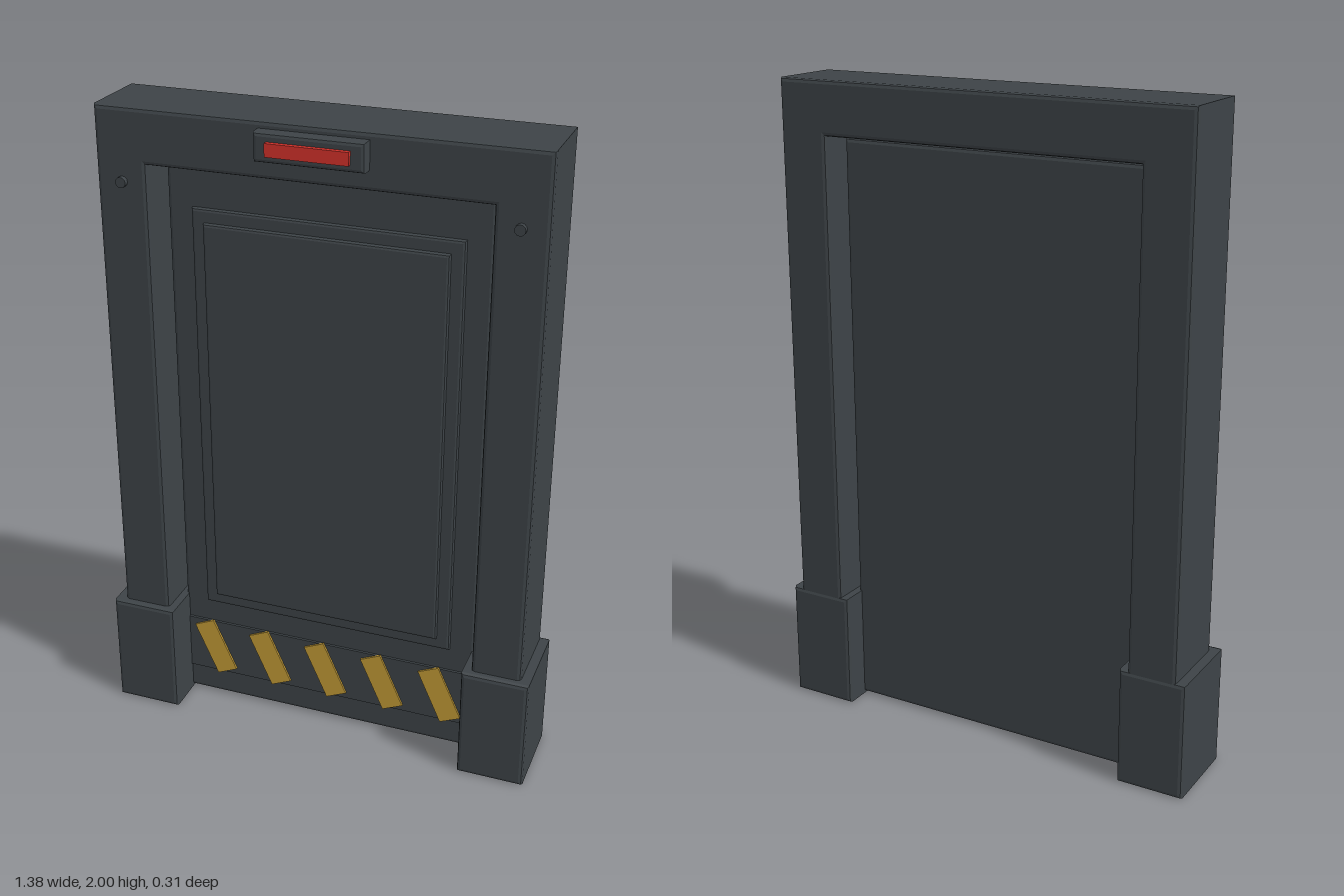
import * as THREE from 'three';

const flat = (name, color) => {
  const m = new THREE.MeshStandardMaterial({ color });
  m.name = name;
  return m;
};

// Extrude a shape between two depths, with bevels kept inside its outline
function bevelExtrude(shape, z0, z1, b) {
  const geo = new THREE.ExtrudeGeometry(shape, {
    depth: z1 - z0 - 2 * b, bevelEnabled: true, bevelThickness: b,
    bevelSize: b, bevelOffset: -b, bevelSegments: 2, curveSegments: 1,
  });
  return geo.translate(0, 0, z0 + b);
}

const outline = (points) => new THREE.Shape(points.map(([x, y]) => new THREE.Vector2(x, y)));

const bevelBox = (x0, x1, y0, y1, z0, z1, b) =>
  bevelExtrude(outline([[x0, y0], [x1, y0], [x1, y1], [x0, y1]]), z0, z1, b);

export function createModel() {
  const steel = flat('dark steel', 0x3d4347);
  const yellow = flat('hazard yellow', 0xc29a36);
  const red = flat('signal red', 0xd2322b);

  const model = new THREE.Group();
  model.name = 'securityDoor';
  const add = (name, geo, mat) => {
    const mesh = new THREE.Mesh(geo, mat);
    mesh.name = name;
    model.add(mesh);
    return mesh;
  };

  // Door surround, one piece around the opening
  const surround = outline([
    [-0.66, 0.01], [-0.505, 0.01], [-0.505, 1.838], [0.505, 1.838],
    [0.505, 0.01], [0.66, 0.01], [0.66, 2], [-0.66, 2],
  ]);
  add('doorFrame', bevelExtrude(surround, -0.154, 0.1, 0.012), steel);

  // Leaf with two stepped panels and the lower band
  add('doorLeaf', bevelBox(-0.49, 0.49, 0.005, 1.826, -0.075, 0, 0.012), steel);
  add('outerPanel', bevelBox(-0.41, 0.41, 0.365, 1.7, -0.02, 0.015, 0.008), steel);
  add('innerPanel', bevelBox(-0.37, 0.37, 0.405, 1.66, -0.01, 0.03, 0.008), steel);
  add('hazardBand', new THREE.BoxGeometry(0.956, 0.19, 0.016).translate(0, 0.19, 0), steel);

  // Slanted warning stripes
  for (let i = -2; i <= 2; i++) {
    const stripe = add('hazardStripe', new THREE.BoxGeometry(0.072, 0.19, 0.008), yellow);
    stripe.position.set(i * 0.192, 0.19, 0.011);
    stripe.rotation.z = 0.42;
  }

  // Feet and bolts on both sides
  for (const s of [-1, 1]) {
    const [x0, x1] = s > 0 ? [0.48, 0.69] : [-0.69, -0.48];
    add(s > 0 ? 'leftFoot' : 'rightFoot', bevelBox(x0, x1, 0, 0.37, -0.157, 0.126, 0.012), steel);
    const bolt = new THREE.CylinderGeometry(0.016, 0.016, 0.03, 12).rotateX(Math.PI / 2);
    add('bolt', bolt, steel).position.set(s * 0.58, 1.785, 0.1);
  }

  // Signal lamp above the opening
  add('lampHousing', bevelBox(-0.16, 0.16, 1.897, 1.98, 0.08, 0.142, 0.01), steel);
  add('lamp', new THREE.BoxGeometry(0.24, 0.038, 0.03).translate(0, 1.938, 0.142), red);

  return model;
}
